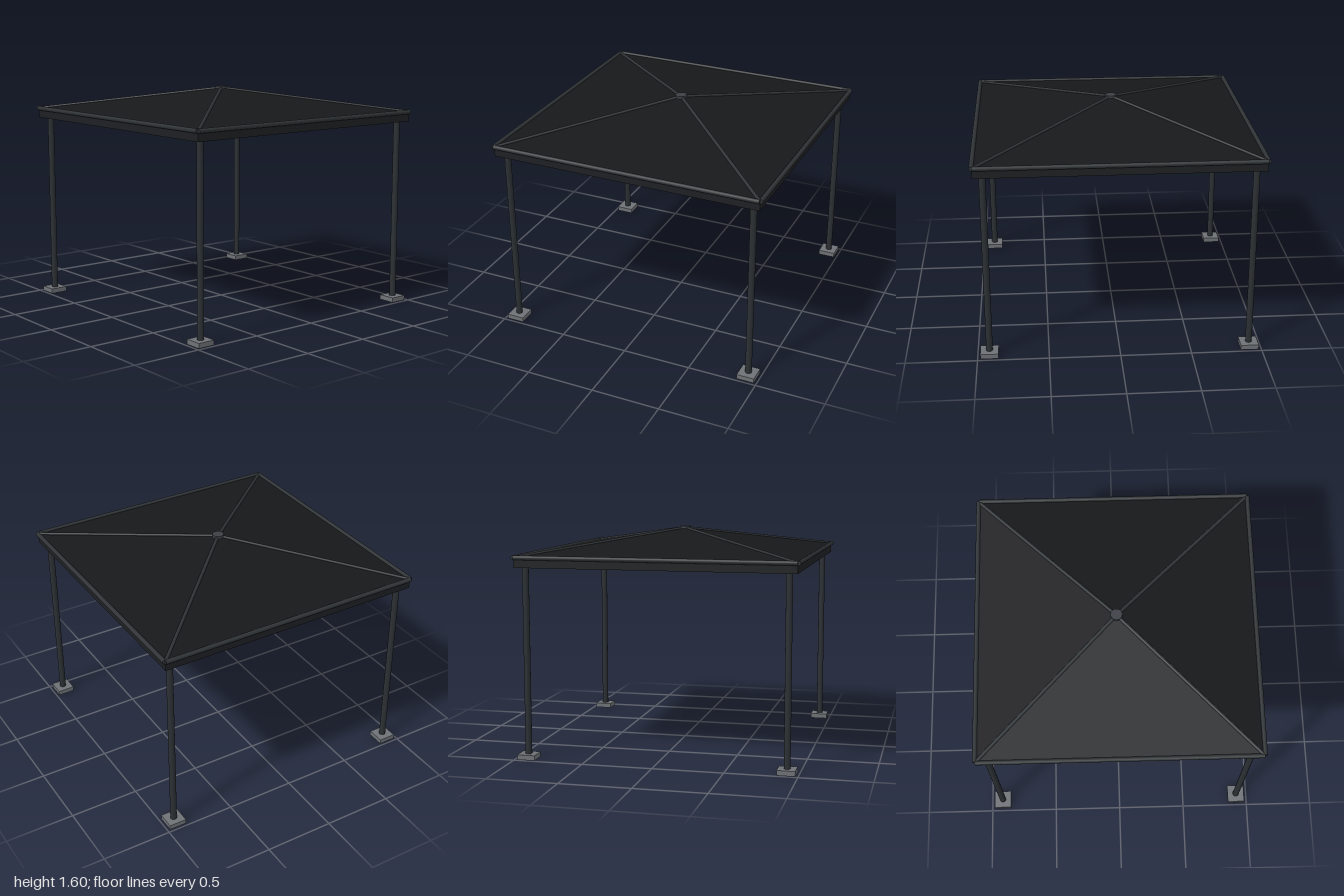
import * as THREE from 'three';

const mat = (color, extra = {}) => new THREE.MeshStandardMaterial({ color, ...extra });

export function createModel() {
  const root = new THREE.Group();
  const postMat = mat(0x2b3033), tubeMat = mat(0x2f3335), beamMat = mat(0x1e2023);
  const footMat = mat(0x6e7276), capMat = mat(0x3c4046);
  const roofMat = mat(0x17181a, { side: THREE.DoubleSide, flatShading: true });

  const E = 0.98;      // eave half width
  const EAVE = 1.42;   // eave height
  const PEAK = 1.585;  // peak height
  const P = 0.917;     // post position

  const add = (name, geometry, material, x = 0, y = 0, z = 0) => {
    const mesh = new THREE.Mesh(geometry, material);
    mesh.name = name;
    mesh.position.set(x, y, z);
    root.add(mesh);
    return mesh;
  };

  // Round bar between two points
  const bar = (name, a, b, radius) => {
    const dir = b.clone().sub(a);
    const mesh = add(name, new THREE.CylinderGeometry(radius, radius, dir.length(), 16), tubeMat);
    mesh.position.copy(a).add(b).multiplyScalar(0.5);
    mesh.quaternion.setFromUnitVectors(new THREE.Vector3(0, 1, 0), dir.normalize());
  };

  // Four-sided canopy, open underneath
  const roof = new THREE.ConeGeometry(E * Math.SQRT2, PEAK - EAVE, 4, 1, true);
  roof.rotateY(Math.PI / 4);
  add('roof', roof, roofMat, 0, (PEAK + EAVE) / 2, 0);

  // Corner posts, feet and hip bars
  const peak = new THREE.Vector3(0, PEAK, 0);
  for (const sx of [-1, 1]) for (const sz of [-1, 1]) {
    add('foot', new THREE.BoxGeometry(0.127, 0.035, 0.127), footMat, sx * P, 0.0175, sz * P);
    add('post', new THREE.CylinderGeometry(0.023, 0.023, 1.385, 16), postMat, sx * P, 0.7175, sz * P);
    bar('hipBar', new THREE.Vector3(sx * E, EAVE, sz * E), peak, 0.012);
  }

  // Perimeter beams and eave bars
  for (const s of [-1, 1]) {
    add('beam', new THREE.BoxGeometry(1.96, 0.06, 0.04), beamMat, 0, 1.38, s * 0.96);
    add('beam', new THREE.BoxGeometry(0.04, 0.06, 1.88), beamMat, s * 0.96, 1.38, 0);
    bar('eaveBar', new THREE.Vector3(-E, EAVE, s * 0.984), new THREE.Vector3(E, EAVE, s * 0.984), 0.016);
    bar('eaveBar', new THREE.Vector3(s * 0.984, EAVE, -E), new THREE.Vector3(s * 0.984, EAVE, E), 0.016);
  }

  // Peak cap
  add('peakCap', new THREE.CylinderGeometry(0.041, 0.041, 0.02, 20), capMat, 0, 1.59, 0);

  return root;
}
